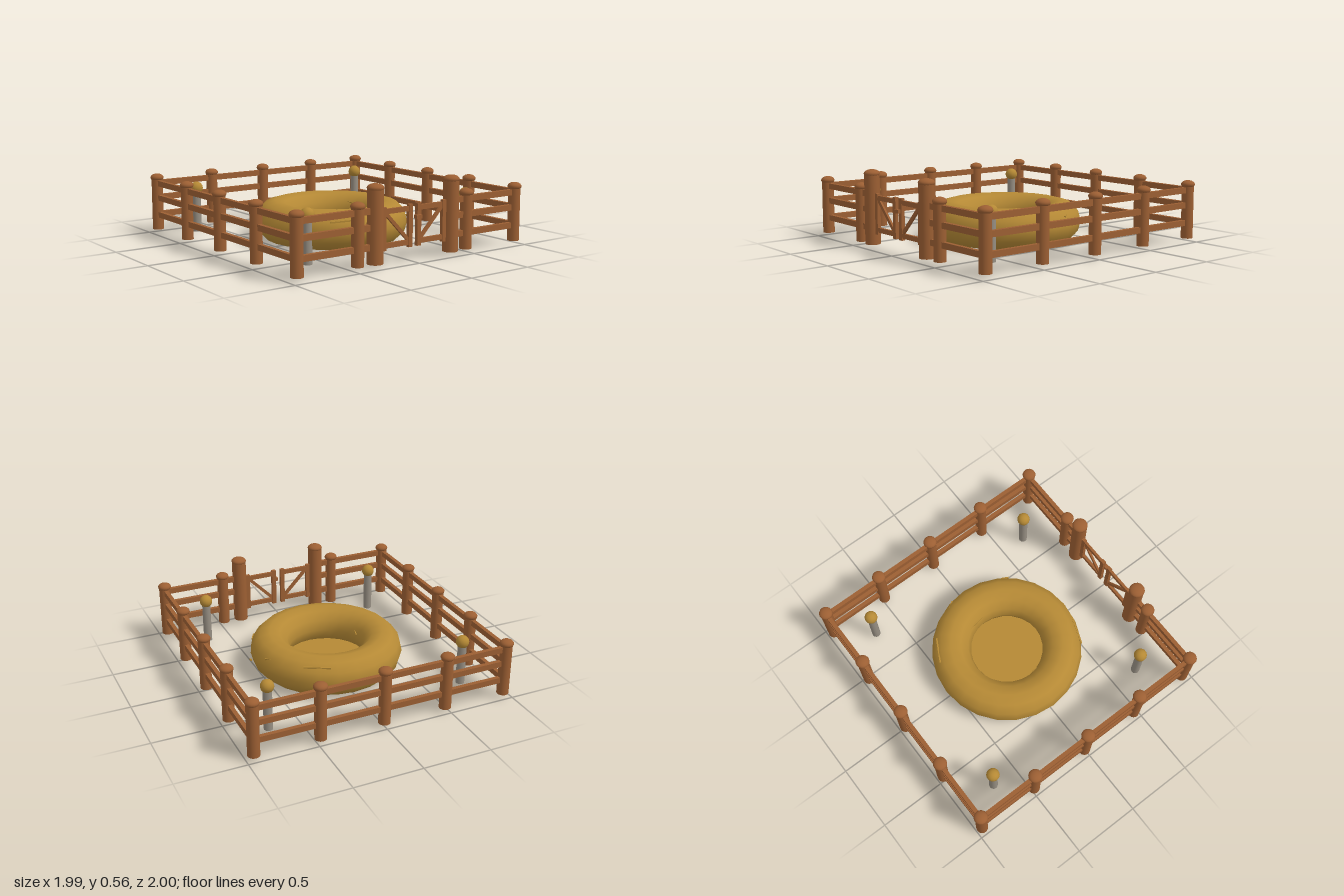
import * as THREE from 'three';

export function createModel() {
  const root = new THREE.Group();
  const wood = new THREE.MeshStandardMaterial({ color: 0x9c5f33 });
  wood.name = 'brown wood';
  const straw = new THREE.MeshStandardMaterial({ color: 0xb58935 });
  straw.name = 'golden straw';
  const stone = new THREE.MeshStandardMaterial({ color: 0x968e82 });
  stone.name = 'grey stake';

  function add(name, geometry, material, x, y, z, parent = root) {
    const mesh = new THREE.Mesh(geometry, material);
    mesh.name = name;
    mesh.position.set(x, y, z);
    parent.add(mesh);
    return mesh;
  }

  // Round post with a flattened dome cap
  function post(name, x, z, radius, top, capRadius) {
    const group = new THREE.Group();
    group.name = name;
    group.position.set(x, 0, z);
    const shaftTop = top - 0.03, bottom = 0.03;
    add('shaft', new THREE.CylinderGeometry(radius, radius, shaftTop - bottom, 14), wood,
      0, (shaftTop + bottom) / 2, 0, group);
    const cap = add('cap', new THREE.SphereGeometry(capRadius, 16, 10), wood, 0, shaftTop, 0, group);
    cap.scale.y = 0.03 / capRadius;
    root.add(group);
  }

  // Straight bar between two points
  function bar(name, a, b, height, depth, parent = root) {
    const start = new THREE.Vector3(...a), end = new THREE.Vector3(...b);
    const mid = start.clone().add(end).multiplyScalar(0.5);
    const mesh = add(name, new THREE.BoxGeometry(depth, height, start.distanceTo(end)), wood,
      mid.x, mid.y, mid.z, parent);
    mesh.lookAt(end);
    return mesh;
  }

  // Perimeter fence posts
  const xs = [-0.945, -0.473, 0, 0.473, 0.945];
  const zs = [-0.953, -0.48, -0.008, 0.465, 0.937];
  const back = zs[0], front = zs[4];
  for (const x of xs) {
    post('fencePost', x, back, 0.043, 0.456, 0.05);
    if (x !== 0) post('fencePost', x, front, 0.043, 0.456, 0.05);
  }
  for (const z of zs.slice(1, 4)) {
    for (const s of [-1, 1]) post('fencePost', s * 0.945, z, 0.043, 0.456, 0.05);
  }

  // Three rails on every side, open at the gate
  for (const y of [0.145, 0.275, 0.385]) {
    bar('backRail', [-0.945, y, back], [0.945, y, back], 0.042, 0.03);
    for (const s of [-1, 1]) {
      bar('sideRail', [s * 0.945, y, back], [s * 0.945, y, front], 0.042, 0.03);
      bar('frontRail', [s * 0.945, y, front], [s * 0.33, y, front], 0.042, 0.03);
    }
  }

  // Gate posts and two braced gate leaves
  for (const s of [-1, 1]) {
    post('gatePost', s * 0.33, front, 0.055, 0.563, 0.058);
    const leaf = new THREE.Group();
    leaf.name = s > 0 ? 'leftGateLeaf' : 'rightGateLeaf';
    root.add(leaf);
    for (const x of [0.262, 0.037]) {
      add('stile', new THREE.BoxGeometry(0.033, 0.29, 0.026), wood, s * x, 0.252, front, leaf);
    }
    for (const y of [0.14, 0.368]) {
      add('crossbar', new THREE.BoxGeometry(0.225, 0.034, 0.02), wood, s * 0.15, y, front, leaf);
    }
    bar('brace', [s * 0.25, 0.36, front], [s * 0.045, 0.15, front], 0.024, 0.016, leaf);
  }
  add('latch', new THREE.BoxGeometry(0.048, 0.026, 0.03), wood, 0.02, 0.308, 0.957);

  // Ring-shaped straw nest with a floor
  const ring = new THREE.TorusGeometry(0.417, 0.147, 12, 24).rotateX(-Math.PI / 2);
  add('nestRing', ring, straw, 0, 0.147, -0.004);
  add('nestFloor', new THREE.CylinderGeometry(0.318, 0.318, 0.025, 24), straw, 0, 0.047, -0.004);

  // Loose straws lying on the nest
  const straws = [
    [[0.18, 0.25, -0.485], [0.35, 0.25, -0.395]],
    [[0.41, 0.255, -0.28], [0.53, 0.22, -0.12]],
    [[0.265, 0.225, -0.15], [0.29, 0.22, -0.02]],
    [[-0.33, 0.225, 0.445], [-0.13, 0.235, 0.515]],
    [[0.47, 0.17, 0.30], [0.44, 0.18, 0.35]],
    [[-0.27, 0.17, 0.03], [-0.275, 0.19, 0.07]],
    [[0.55, 0.095, 0.14], [0.55, 0.095, 0.12]],
  ];
  for (const [a, b] of straws) bar('looseStraw', a, b, 0.011, 0.011).material = straw;

  // Ball-topped stakes in the corners
  for (const [x, z] of [[-0.747, -0.7], [0.743, -0.7], [-0.695, 0.69], [0.695, 0.69]]) {
    add('stake', new THREE.CylinderGeometry(0.032, 0.032, 0.3, 12), stone, x, 0.18, z);
    add('stakeBall', new THREE.SphereGeometry(0.048, 14, 10), straw, x, 0.36, z);
  }
  return root;
}
